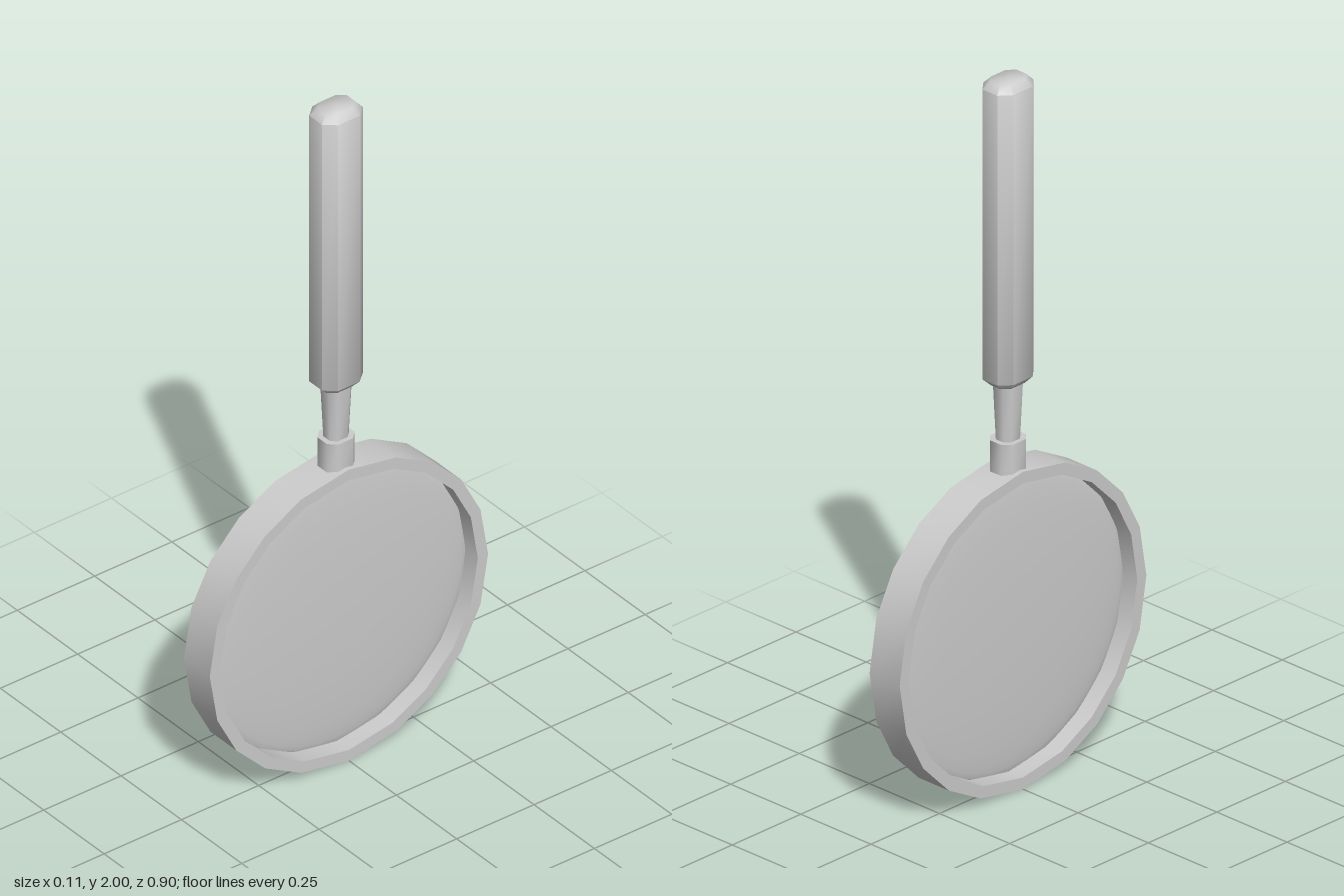
import * as THREE from 'three';
import { toCreasedNormals } from 'three/addons/utils/BufferGeometryUtils.js';

const material = new THREE.MeshStandardMaterial({ color: 0xcccccc });

const CENTRE_Y = 0.45;

// Slightly uneven 20-sided outline, mirrored from one quarter (degrees from the top)
const quarter = [0, 20, 37, 54, 71];
const angles = [0, 1, 2, 3].flatMap(q =>
  quarter.map((a, i) => q % 2 === 0 ? q * 90 + a : q * 90 + (i === 0 ? 0 : 90 - quarter[5 - i])));

// Counter-clockwise outline of the given radius
function outline(radius) {
  return angles.map(a => {
    const t = THREE.MathUtils.degToRad(a);
    return new THREE.Vector2(-radius * Math.sin(t), radius * Math.cos(t));
  });
}

// Unit octagon with wide flats and narrow chamfers, as (x, z)
const octagon = [[1, -0.53], [1, 0.53], [0.5, 1], [-0.5, 1], [-1, 0.53], [-1, -0.53], [-0.5, -1], [0.5, -1]];

// Closed loft of octagons; each section is [y, half width in x, half depth in z]
function loft(name, sections) {
  const positions = [], index = [], n = octagon.length;
  for (const [y, sx, sz] of sections) {
    for (const [x, z] of octagon) positions.push(x * sx, y, z * sz);
  }
  const last = (sections.length - 1) * n;
  const bottom = positions.length / 3, top = bottom + 1;
  positions.push(0, sections[0][0], 0, 0, sections[sections.length - 1][0], 0);
  for (let i = 0; i < n; i++) {
    const j = (i + 1) % n;
    for (let k = 0; k < last; k += n) {
      index.push(k + i, k + n + i, k + j, k + j, k + n + i, k + n + j);
    }
    index.push(bottom, i, j, top, last + j, last + i);
  }
  const geometry = new THREE.BufferGeometry();
  geometry.setAttribute('position', new THREE.Float32BufferAttribute(positions, 3));
  geometry.setIndex(index);
  const mesh = new THREE.Mesh(toCreasedNormals(geometry, 0.9), material);
  mesh.name = name;
  return mesh;
}

export function createModel() {
  const group = new THREE.Group();
  group.name = 'magnifyingGlass';

  // Rim: faceted ring whose axis runs along x
  const shape = new THREE.Shape(outline(0.45));
  shape.holes.push(new THREE.Path(outline(0.417)));
  const rimGeometry = new THREE.ExtrudeGeometry(shape, { depth: 0.107, bevelEnabled: false });
  rimGeometry.translate(0, 0, -0.0535).rotateY(Math.PI / 2);
  const rim = new THREE.Mesh(toCreasedNormals(rimGeometry, 0.6), material);
  rim.name = 'rim';
  rim.position.y = CENTRE_Y;
  group.add(rim);

  // Lens: thin flattened sphere in the middle of the rim
  const lensGeometry = new THREE.SphereGeometry(0.42, 40, 20);
  lensGeometry.rotateZ(Math.PI / 2).scale(0.05, 1, 1);
  const lens = new THREE.Mesh(lensGeometry, material);
  lens.name = 'lens';
  lens.position.y = CENTRE_Y;
  group.add(lens);

  // Collar, tapered neck and grip
  group.add(loft('collar', [[0.87, 0.04, 0.045], [0.98, 0.04, 0.045]]));
  group.add(loft('neck', [[0.97, 0.027, 0.03], [1.145, 0.034, 0.038]]));
  group.add(loft('handle', [
    [1.138, 0.036, 0.046], [1.158, 0.0535, 0.066], [1.98, 0.0535, 0.066], [2, 0.035, 0.048],
  ]));

  return group;
}
